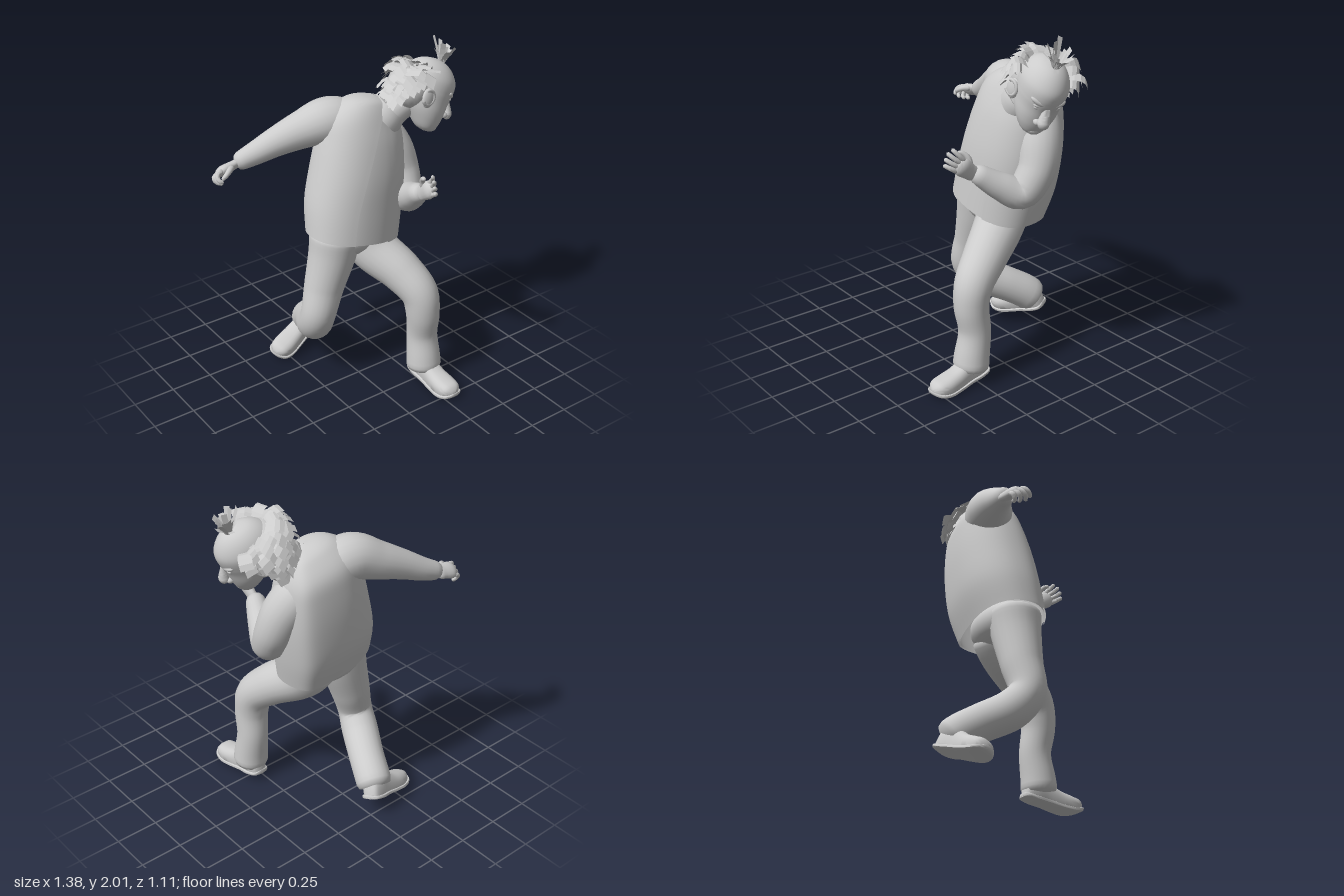
import * as THREE from 'three';
import { mergeGeometries, mergeVertices, toCreasedNormals } from 'three/addons/utils/BufferGeometryUtils.js';

const V = (x, y, z) => new THREE.Vector3(x, y, z);
const grey = new THREE.MeshStandardMaterial({ color: 0xcccccc });
const sheet = new THREE.MeshStandardMaterial({ color: 0xcccccc, side: THREE.DoubleSide });
const strand = new THREE.MeshStandardMaterial({ color: 0xcccccc, side: THREE.DoubleSide, flatShading: true });
let seed = 7;
const rand = () => (seed = (seed * 16807) % 2147483647) / 2147483647;
const jitter = (s) => (rand() - 0.5) * 2 * s;

// Smooth interpolation through rows of numbers, t in 0..1
function spline(rows, t) {
  const f = t * (rows.length - 1), i = Math.min(Math.floor(f), rows.length - 2), u = f - i;
  const [a, b, c, d] = [-1, 0, 1, 2].map((k) => rows[THREE.MathUtils.clamp(i + k, 0, rows.length - 1)]);
  return b.map((_, k) => b[k] + 0.5 * u * (c[k] - a[k] + u * (2 * a[k] - 5 * b[k] + 4 * c[k] - d[k] + u * (3 * (b[k] - c[k]) + d[k] - a[k]))));
}

// Surface through rings; at(t, s) gives a point, rings run upwards
function loft(nt, ns, at, crease = 0.9) {
  const pos = [], idx = [], w = ns + 1;
  for (let i = 0; i <= nt; i++) for (let j = 0; j <= ns; j++) pos.push(...at(i / nt, j / ns));
  for (let i = 0; i < nt; i++) for (let j = 0; j < ns; j++) {
    const a = i * w + j, b = a + w;
    idx.push(a, b, a + 1, b, b + 1, a + 1);
  }
  const g = new THREE.BufferGeometry();
  g.setAttribute('position', new THREE.Float32BufferAttribute(pos, 3));
  g.setIndex(idx);
  return toCreasedNormals(mergeVertices(g, 1e-5), crease);
}

// Tube through points [x, y, z, radius]; round sets how far the ends are rounded
function limb(pts, seg = 28, sides = 20, round = 1) {
  const curve = new THREE.CatmullRomCurve3(pts.map((p) => V(p[0], p[1], p[2])), false, 'centripetal');
  const g = new THREE.TubeGeometry(curve, seg, 1, sides), p = g.attributes.position, n = g.attributes.normal;
  const len = curve.getLength();
  for (let i = 0; i <= seg; i++) {
    const u = i / seg, c = curve.getPointAt(u);
    let r = spline(pts, curve.getUtoTmapping(u))[3];
    const q = 1 - Math.min(1, (Math.min(u, 1 - u) * len) / (r * round));
    r *= Math.sqrt(Math.max(0, 1 - q * q));
    for (let j = 0; j <= sides; j++) {
      const k = i * (sides + 1) + j;
      p.setXYZ(k, c.x + n.getX(k) * r, c.y + n.getY(k) * r, c.z + n.getZ(k) * r);
    }
  }
  g.deleteAttribute('uv');
  g.deleteAttribute('normal');
  return toCreasedNormals(mergeVertices(g, 1e-5), 1.1);
}

function add(parent, name, geo, mat = grey) {
  const m = new THREE.Mesh(geo, mat);
  m.name = name;
  parent.add(m);
  return m;
}
function ball(parent, name, [x, y, z], [a, b, c]) {
  const m = add(parent, name, new THREE.SphereGeometry(1, 24, 16));
  m.position.set(x, y, z);
  m.scale.set(a, b, c);
  return m;
}
// Group whose local y axis points along yDir and local z roughly along zDir
function placed(parent, name, at, yDir, zDir) {
  const g = new THREE.Group(), y = V(...yDir).normalize(), z = V(...zDir);
  z.addScaledVector(y, -z.dot(y)).normalize();
  g.setRotationFromMatrix(new THREE.Matrix4().makeBasis(V().crossVectors(y, z), y, z));
  g.position.set(...at);
  g.name = name;
  parent.add(g);
  return g;
}

// Hand: fingers along +y, palm towards +z, thumb on the given side
function hand(parent, name, at, dir, palm, side, curl) {
  const g = placed(parent, name, at, dir, palm);
  add(g, 'palm', limb([[0, -0.05, 0, 0.045], [0, 0, 0, 0.044], [0, 0.06, 0, 0.052], [0, 0.115, 0, 0.048]], 20, 16)).scale.z = 0.6;
  const finger = (x, y, lean, len, bend, r) => {
    const pts = [[x, y - 0.015, 0, r]];
    let a = bend * 0.3, [px, py, pz] = [x, y, 0];
    for (let k = 0; k < 4; k++) {
      pts.push([px, py, pz, r * (1 - 0.07 * k)]);
      px += lean * len / 3; py += Math.cos(a) * len / 3; pz += Math.sin(a) * len / 3;
      a += bend;
    }
    return limb(pts, 14, 10);
  };
  for (let i = 0; i < 4; i++) {
    const x = side * (0.036 - i * 0.024);
    add(g, 'finger', finger(x, 0.095, x * 4, [0.09, 0.1, 0.092, 0.075][i], curl * (1 + 0.1 * i), 0.0145));
  }
  add(g, 'thumb', limb([[side * 0.025, 0.02, 0.005, 0.018], [side * 0.055, 0.055, 0.02, 0.017], [side * 0.06, 0.09, 0.035, 0.014], [side * 0.05, 0.12, 0.045, 0.011]], 16, 10));
}

// Shoe: heel at z = 0, toe along +z, with a welt and sole
function shoe(parent, name, at, up, fwd) {
  const g = placed(parent, name, at, up, fwd);
  // z, half width, base height, top height
  const rows = [[-0.03, 0.012, 0.02, 0.07], [-0.015, 0.045, 0.015, 0.13], [0.04, 0.057, 0.008, 0.15], [0.11, 0.058, 0.006, 0.14],
    [0.19, 0.064, 0, 0.11], [0.265, 0.069, 0, 0.098], [0.325, 0.056, 0.015, 0.088], [0.355, 0.012, 0.035, 0.055]];
  const shell = (grow, sole) => loft(28, 28, (t, s) => {
    const [z, w, b, h] = spline(rows, t), a = -s * Math.PI * 2, end = t === 0 || t === 1 ? 0 : 1;
    const top = sole ? b + 0.024 : h, mid = (b + top) / 2;
    const cy = Math.sin(a), flat = cy < 0 || sole ? Math.sign(cy) * Math.abs(cy) ** 0.35 : cy;
    return [end * (w + grow) * Math.sign(Math.cos(a)) * Math.abs(Math.cos(a)) ** 0.7, mid + end * flat * (top - mid), z + (t - 0.4) * grow * 2];
  });
  add(g, 'shoeUpper', shell(0, false));
  add(g, 'shoeSole', shell(0.008, true));
}

// Bent ribbon of hair through three points
function lock(a, b, c, across, w) {
  const curve = new THREE.QuadraticBezierCurve3(a, b, c), side = across.clone().normalize();
  const g = new THREE.PlaneGeometry(1, 1, 1, 4), p = g.attributes.position;
  for (let i = 0; i < p.count; i++) {
    const v = curve.getPoint(p.getY(i) + 0.5).addScaledVector(side, p.getX(i) * w);
    p.setXYZ(i, v.x, v.y, v.z);
  }
  return g;
}

function buildHead(parent) {
  const g = new THREE.Group();
  g.name = 'head';
  g.position.set(0.485, 1.735, -0.035);
  g.rotation.set(0.42, 1.17, -0.24, 'YXZ');
  parent.add(g);
  // Skull and jaw: y, centre z, half width, half depth
  const rows = [[-0.23, 0.08, 0.002, 0.002], [-0.215, 0.075, 0.055, 0.053], [-0.165, 0.055, 0.094, 0.093], [-0.11, 0.03, 0.118, 0.124], [-0.05, 0.01, 0.127, 0.146],
    [0.01, 0, 0.133, 0.165], [0.07, 0, 0.128, 0.16], [0.125, 0, 0.098, 0.122], [0.16, 0, 0.055, 0.07], [0.174, 0, 0.001, 0.001]];
  add(g, 'skull', loft(36, 36, (t, s) => {
    const [y, cz, rx, rz] = spline(rows, t), a = s * Math.PI * 2;
    return [rx * Math.cos(a), y, cz + rz * Math.sin(a)];
  }, 1.5));
  add(g, 'nose', limb([[0, -0.01, 0.135, 0.022], [0, -0.045, 0.15, 0.024], [0, -0.085, 0.168, 0.031], [0, -0.108, 0.173, 0.038], [0, -0.122, 0.163, 0.034]], 24, 16));
  ball(g, 'chin', [0, -0.19, 0.095], [0.05, 0.038, 0.05]);
  ball(g, 'upperLip', [0, -0.146, 0.128], [0.045, 0.011, 0.022]);
  ball(g, 'lowerLip', [0, -0.166, 0.125], [0.038, 0.011, 0.02]);
  for (const s of [-1, 1]) {
    ball(g, 'eye', [s * 0.05, -0.03, 0.13], [0.022, 0.014, 0.016]);
    ball(g, 'upperEyelid', [s * 0.051, -0.019, 0.132], [0.028, 0.009, 0.016]).rotation.z = s * 0.15;
    ball(g, 'brow', [s * 0.052, 0.004, 0.13], [0.05, 0.018, 0.024]).rotation.set(0, s * 0.35, s * 0.25);
    ball(g, 'nostril', [s * 0.028, -0.11, 0.15], [0.018, 0.018, 0.024]);
    ball(g, 'ear', [s * 0.138, -0.045, -0.02], [0.018, 0.056, 0.042]).rotation.set(-0.2, s * -0.4, 0);
    const rim = add(g, 'earRim', new THREE.TorusGeometry(0.04, 0.01, 8, 20, 4.7));
    rim.position.set(s * 0.148, -0.042, -0.022);
    rim.rotation.set(0, Math.PI / 2 - s * 0.4, 0.8);
  }
  // Wreath of hair round the back and sides, swept towards the left: long locks over shaggy short ones
  ball(g, 'hairBase', [0.01, -0.01, -0.085], [0.15, 0.135, 0.13]);
  const locks = [];
  // height, start radius, reach, first and last angle from the back, width, drop, count
  const tiers = [[0.1, 0.11, 0.11, -1.3, 1.85, 0.068, 0.015, 16], [0.07, 0.13, 0.1, -1.35, 1.85, 0.06, 0.04, 16], [0.02, 0.14, 0.09, -1.2, 1.6, 0.05, 0.06, 18],
    [-0.03, 0.145, 0.085, -1.0, 1.45, 0.048, 0.06, 17], [-0.08, 0.135, 0.085, -0.75, 1.35, 0.048, 0.06, 15], [-0.12, 0.12, 0.075, -0.4, 1.25, 0.045, 0.06, 12]];
  for (const [y, base, far, lo, hi, w, drop, n] of tiers) for (let i = 0; i < n; i++) {
    const a = lo + (i / (n - 1)) * (hi - lo) + jitter(0.06), out = V(Math.sin(a), 0, -Math.cos(a));
    const at = (r, yy) => V(out.x * r * 0.95, yy + jitter(0.012), out.z * r - 0.02);
    const reach = far * (a < -0.6 ? 0.7 : 1) + jitter(0.025);
    locks.push(lock(at(base, y), at(base + reach * 0.7, y + 0.035), at(base + reach, y - drop + jitter(0.025)),
      V(Math.cos(a), jitter(0.6), Math.sin(a)), w + jitter(0.012)));
  }
  add(g, 'hairWreath', mergeGeometries(locks), strand);
  // Tuft on the crown
  const tuft = [];
  for (let i = 0; i < 18; i++) {
    const a = i * 2.4, r = 0.03 + 0.055 * rand(), x = Math.cos(a), z = Math.sin(a);
    tuft.push(lock(V(x * 0.012, 0.155, 0.04 + z * 0.012), V(x * 0.025, 0.2, 0.035 + z * 0.025),
      V(x * r, 0.22 + 0.075 * rand(), 0.025 + z * r), V(-z, jitter(0.3), x), 0.03));
  }
  add(g, 'hairTuft', mergeGeometries(tuft), strand);
}

export function createModel() {
  const model = new THREE.Group();
  model.name = 'figure';

  // Torso rings: y, centre x, centre z, half width, half depth, slope, front edges of the jacket in degrees
  const rows = [[0.93, 0.03, -0.105, 0.285, 0.205, -0.2, 111, 69], [1.1, 0.06, -0.137, 0.292, 0.226, -0.18, 110, 71], [1.3, 0.1, -0.153, 0.28, 0.225, -0.16, 105, 75],
    [1.48, 0.13, -0.168, 0.255, 0.203, -0.17, 96, 79], [1.6, 0.15, -0.178, 0.222, 0.17, -0.22, 88, 79], [1.68, 0.18, -0.165, 0.15, 0.115, -0.26, 82, 77],
    [1.71, 0.2, -0.155, 0.08, 0.07, -0.3, 80, 77], [1.72, 0.21, -0.15, 0.002, 0.002, -0.3, 80, 77]];
  const body = (k, open) => loft(35, 56, (t, s) => {
    const [y, cx, cz, rx, rz, slope, a0, a1] = spline(rows, t);
    const a = THREE.MathUtils.degToRad(open ? a0 + s * (360 + a1 - a0) : s * 360);
    const c = Math.cos(a), d = Math.sin(a), square = 0.9 - 0.6 * Math.max(0, c) * Math.max(0, -d);
    const pw = (v) => Math.sign(v) * Math.abs(v) ** square, dx = k * rx * pw(c);
    return [cx + dx, y + slope * dx, cz + k * rz * pw(d)];
  });
  add(model, 'jacket', body(1, true), sheet);
  add(model, 'shirt', body(0.96, false), sheet);

  // Neck and collar
  add(model, 'neck', limb([[0.2, 1.53, -0.14, 0.09], [0.29, 1.6, -0.115, 0.095], [0.37, 1.65, -0.09, 0.085], [0.45, 1.68, -0.06, 0.08]]));
  const collar = placed(model, 'collar', [0.275, 1.615, -0.11], [0.7, 0.65, 0.22], [0, 0, 1]);
  const band = new THREE.LatheGeometry([[0.125, -0.05], [0.118, -0.01], [0.104, 0.03], [0.098, 0.025], [0.1, -0.03]].map((p) => new THREE.Vector2(...p)), 32);
  add(collar, 'collarBand', band, sheet);
  buildHead(model);

  // Arms
  add(model, 'rightArm', limb([[0.14, 1.55, -0.2, 0.1], [0.05, 1.585, -0.225, 0.125], [-0.05, 1.595, -0.25, 0.131], [-0.17, 1.555, -0.3, 0.108], [-0.31, 1.5, -0.35, 0.084], [-0.43, 1.445, -0.39, 0.066], [-0.55, 1.4, -0.42, 0.05]], 38));
  add(model, 'leftArm', limb([[0.2, 1.53, -0.19, 0.1], [0.275, 1.47, -0.19, 0.122], [0.345, 1.36, -0.15, 0.12], [0.378, 1.22, -0.1, 0.106], [0.355, 1.11, -0.02, 0.094], [0.31, 1.16, 0.09, 0.078], [0.265, 1.24, 0.205, 0.056], [0.255, 1.265, 0.245, 0.046]], 40));
  hand(model, 'rightHand', [-0.555, 1.395, -0.42], [-0.95, -0.2, 0.05], [0.1, -0.8, 0.6], 1, 0.95);
  hand(model, 'leftHand', [0.258, 1.26, 0.25], [-0.02, 0.61, 0.79], [-0.95, 0, -0.25], -1, 0.26);

  // Trousers
  ball(model, 'trouserSeat', [0.025, 0.93, -0.115], [0.24, 0.13, 0.165]);
  add(model, 'rightTrouserLeg', limb([[-0.08, 1.0, -0.105, 0.155], [-0.11, 0.84, -0.105, 0.14], [-0.17, 0.64, -0.105, 0.118], [-0.22, 0.46, -0.1, 0.103], [-0.195, 0.36, -0.175, 0.108], [-0.12, 0.28, -0.32, 0.104], [-0.075, 0.22, -0.42, 0.104], [-0.05, 0.165, -0.485, 0.102]], 44, 22, 0.4));
  add(model, 'leftTrouserLeg', limb([[0.1, 0.95, -0.13, 0.15], [0.13, 0.825, -0.045, 0.142], [0.215, 0.71, 0.12, 0.125], [0.265, 0.6, 0.235, 0.11], [0.275, 0.48, 0.26, 0.1], [0.285, 0.32, 0.245, 0.092], [0.285, 0.17, 0.265, 0.101], [0.285, 0.075, 0.275, 0.106]], 44, 22, 0.4));

  // Shoes
  shoe(model, 'leftShoe', [0.285, 0.035, 0.195], [0, 1, 0.1], [0.04, -0.1, 1]);
  shoe(model, 'rightShoe', [-0.01, 0.11, -0.5], [-0.15, 0.92, 0.36], [-0.35, -0.055, 0.11]);
  return model;
}
